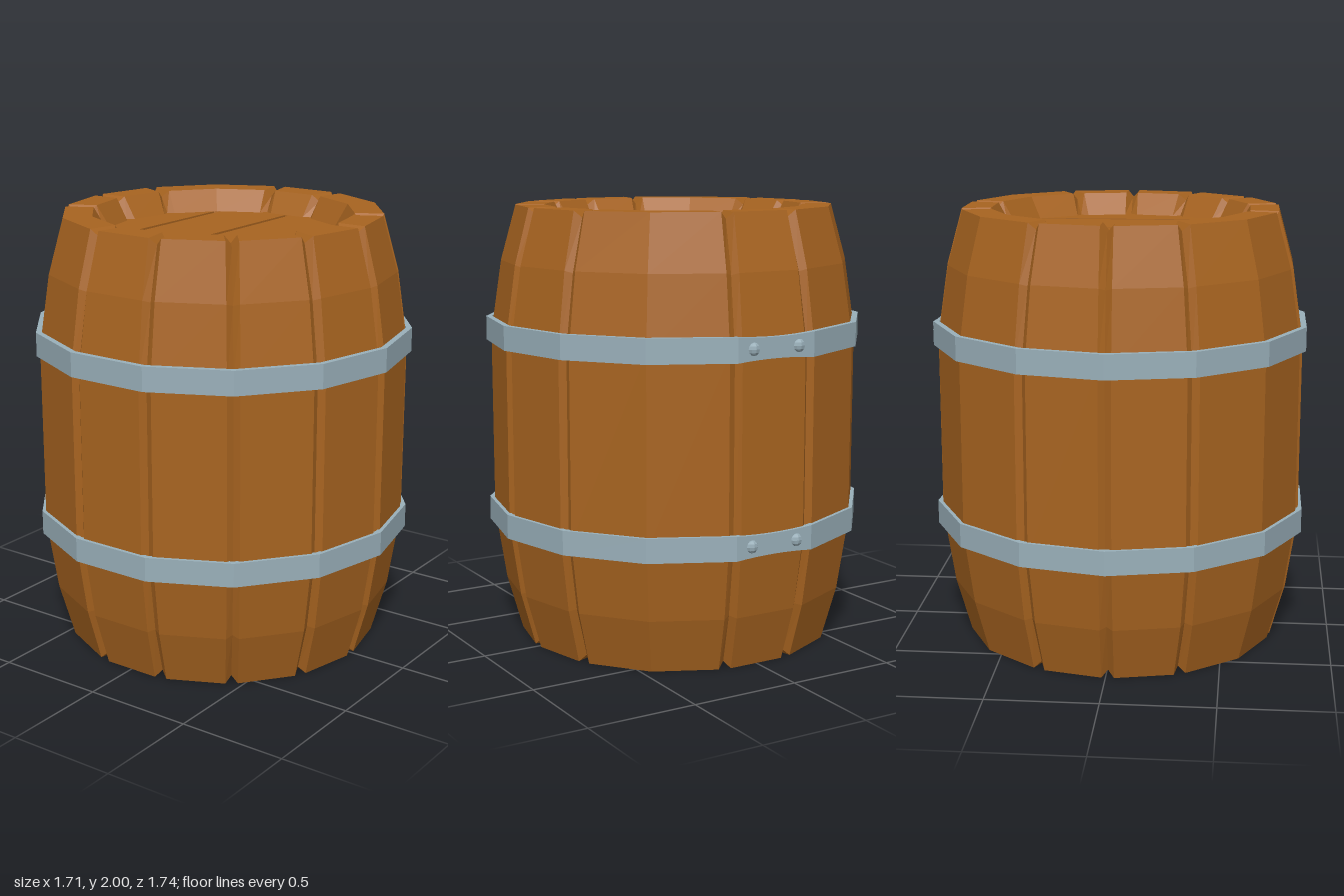
import * as THREE from 'three';

const SIDES = 14;
const PLAIN_JOINTS = [2, 5, 12]; // joints without a groove between staves
const wood = new THREE.MeshStandardMaterial({ color: 0xa86420, flatShading: true });
const metal = new THREE.MeshStandardMaterial({ color: 0x9ab0ba, flatShading: true });

// Point on the 14-sided outline: joint k, moved by fraction t towards the next joint
function outline(k, t, r, y) {
  const corner = (j) => {
    const a = (j * 2 * Math.PI) / SIDES;
    return new THREE.Vector3(Math.sin(a) * r, y, -Math.cos(a) * r);
  };
  return corner(k).lerp(corner(k + 1), t);
}

// Skin a closed ring of columns, each a list of points running from top to bottom
function skin(columns) {
  const pos = [];
  columns.forEach((a, c) => {
    const b = columns[(c + 1) % columns.length];
    for (let i = 0; i < a.length - 1; i++) {
      for (const p of [a[i], b[i], b[i + 1], a[i], b[i + 1], a[i + 1]]) pos.push(p.x, p.y, p.z);
    }
  });
  const g = new THREE.BufferGeometry();
  g.setAttribute('position', new THREE.Float32BufferAttribute(pos, 3));
  g.computeVertexNormals();
  return g;
}

function named(name, geometry, material) {
  const m = new THREE.Mesh(geometry, material);
  m.name = name;
  return m;
}

// Upper half profile as [radius, y], mirrored for the lower half
function fullProfile(half) {
  return [...half, ...half.map(([r, y]) => [r, 2 - y]).reverse()];
}

// Staves: bulging wall, flat rims and sloped inner lips, with V grooves at the joints
function makeStaves() {
  const surface = fullProfile([[0.53, 1.86], [0.54, 1.9], [0.6, 2], [0.733, 2], [0.803, 1.75], [0.853, 1.42]]);
  const groove = fullProfile([[0.55, 1.86], [0.56, 1.9], [0.618, 1.97], [0.705, 1.97], [0.775, 1.74], [0.827, 1.42]]);
  const columns = [];
  const side = 2 * Math.sin(Math.PI / SIDES);
  const add = (profile, k, dir, width) => columns.push(profile.map(([r, y]) => {
    const t = width / (side * r);
    return dir < 0 ? outline(k - 1, 1 - t, r, y) : outline(k, t, r, y);
  }));
  for (let k = 0; k < SIDES; k++) {
    if (PLAIN_JOINTS.includes(k)) {
      add(surface, k, 1, 0);
    } else {
      add(surface, k, -1, 0.029);
      add(groove, k, 1, 0);
      add(surface, k, 1, 0.029);
    }
  }
  return named('staves', skin(columns), wood);
}

// Metal hoop, slightly waisted on the riveted side
function makeHoop(y) {
  const columns = [];
  const add = (k, t, h) => columns.push(
    [[0.87, h], [0.87, -h], [0.843, -h], [0.843, h], [0.87, h]].map(([r, dy]) => outline(k, t, r, y + dy)));
  for (let k = 0; k < SIDES; k++) {
    const steps = k === 3 ? 8 : 1;
    for (let s = 0; s < steps; s++) {
      const u = (2 * s) / steps - 1;
      add(k, s / steps, 0.055 - 0.009 * (1 - u * u));
    }
  }
  const hoop = new THREE.Group();
  hoop.name = 'hoop';
  hoop.add(named('hoopBand', skin(columns), metal));
  for (const z of [-0.115, 0.115]) {
    const rivet = named('rivet', new THREE.SphereGeometry(0.029, 8, 6), metal);
    rivet.scale.x = 0.65;
    rivet.position.set(0.847, y, z);
    hoop.add(rivet);
  }
  return hoop;
}

// Lid: four planks cut to a circle, over a recessed backing board
function makeLid() {
  const lid = new THREE.Group();
  const R = 0.57, N = 6;
  const cuts = [-R, -0.345, -0.005, 0.333, R];
  for (let i = 0; i < 4; i++) {
    const z0 = cuts[i] + (i > 0 ? 0.012 : 0);
    const z1 = cuts[i + 1] - (i < 3 ? 0.012 : 0);
    const right = [];
    for (let s = 0; s <= N; s++) {
      const z = z0 + ((z1 - z0) * s) / N;
      right.push(new THREE.Vector2(Math.sqrt(Math.max(0, R * R - z * z)), z));
    }
    // a slight taper keeps the gaps hand-made
    const left = right.map((p, s) => new THREE.Vector2(-p.x, p.y + (s === 0 && i > 0 ? 0.006 : 0))).reverse();
    const shape = new THREE.Shape([...right, ...left]);
    const g = new THREE.ExtrudeGeometry(shape, { depth: 0.04, bevelEnabled: false });
    g.rotateX(-Math.PI / 2);
    g.translate(0, 0.86, 0);
    lid.add(named('lidPlank', g, wood));
  }
  const board = named('lidBacking', new THREE.CylinderGeometry(0.575, 0.575, 0.03, 28), wood);
  board.position.y = 0.86;
  lid.add(board);
  return lid;
}

export function createModel() {
  const barrel = new THREE.Group();
  barrel.name = 'barrel';
  barrel.position.x = -0.01;
  barrel.add(makeStaves(), makeHoop(1.435), makeHoop(0.582));
  const topLid = makeLid();
  topLid.name = 'topLid';
  topLid.position.y = 1;
  const bottomLid = makeLid();
  bottomLid.name = 'bottomLid';
  bottomLid.position.y = 1;
  bottomLid.rotation.x = Math.PI;
  barrel.add(topLid, bottomLid);

  const model = new THREE.Group();
  model.add(barrel);
  return model;
}
